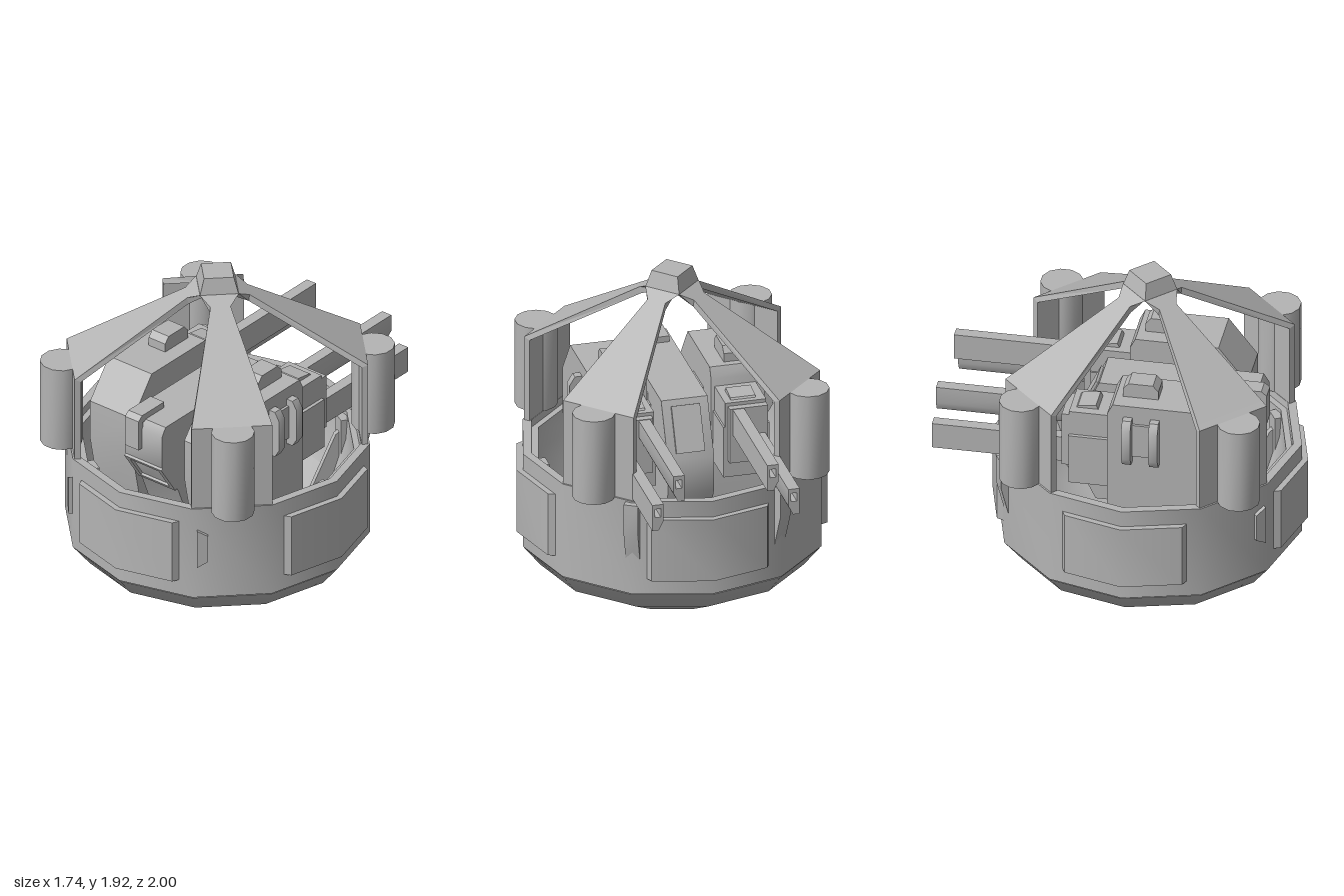
import * as THREE from 'three';
import { toCreasedNormals } from 'three/addons/utils/BufferGeometryUtils.js';

const grey = new THREE.MeshStandardMaterial({ color: 0xb4b4b4 });
grey.name = 'hull grey';

function add(parent, name, geometry, crease = 0.6) {
  const mesh = new THREE.Mesh(toCreasedNormals(geometry, crease), grey);
  mesh.name = name;
  parent.add(mesh);
  return mesh;
}

function box(x0, x1, y0, y1, z0, z1) {
  return new THREE.BoxGeometry(x1 - x0, y1 - y0, z1 - z0)
    .translate((x0 + x1) / 2, (y0 + y1) / 2, (z0 + z1) / 2);
}

const shapeOf = pts => new THREE.Shape(pts.map(p => new THREE.Vector2(p[0], p[1])));

// Profile of [z, y] points, extruded from x0 to x1
function prism(pts, x0, x1) {
  return new THREE.ExtrudeGeometry(shapeOf(pts), { depth: x1 - x0, bevelEnabled: false })
    .rotateY(-Math.PI / 2).translate(x1, 0, 0);
}

// Loft through rectangular sections: [outer r, outer y, inner r, inner y, outer width, inner width]
function loft(sections) {
  const pos = [], idx = [];
  for (const [ro, yo, ri, yi, wo, wi] of sections) {
    pos.push(-wo / 2, yo, ro, wo / 2, yo, ro, wi / 2, yi, ri, -wi / 2, yi, ri);
  }
  for (let s = 0; s < sections.length - 1; s++) {
    for (let k = 0; k < 4; k++) {
      const a = s * 4 + k, b = s * 4 + (k + 1) % 4;
      idx.push(a, b, b + 4, a, b + 4, a + 4);
    }
  }
  const e = pos.length / 3 - 4;
  idx.push(0, 2, 1, 0, 3, 2, e, e + 1, e + 2, e, e + 2, e + 3);
  const g = new THREE.BufferGeometry();
  g.setAttribute('position', new THREE.Float32BufferAttribute(pos, 3));
  g.setIndex(idx);
  return g;
}

function buildHull(hull) {
  const lathe = pts => new THREE.LatheGeometry(pts.map(p => new THREE.Vector2(p[0], p[1])), 12);
  // Shallow bowl under the drum
  add(hull, 'bowl', lathe([[0, 0], [0.43, 0.06], [0.74, 0.22], [0.832, 0.335], [0.8, 0.345]]), 0.75);
  // Drum wall with stepped rim and hollow interior
  add(hull, 'drum', lathe([
    [0.8, 0.342], [0.838, 0.342], [0.838, 0.9], [0.79, 0.9], [0.785, 0.86], [0.75, 0.86],
    [0.74, 0.72], [0.67, 0.5], [0.5, 0.34], [0.27, 0.25], [0, 0.22]]));

  // Folded armour panels on the four sides
  const fold = shapeOf([[-0.345, 0.74], [0, 0.832], [0.345, 0.74], [0.325, 0.785], [0, 0.872], [-0.325, 0.785]]);
  for (let i = 0; i < 4; i++) {
    const g = new THREE.ExtrudeGeometry(fold, { depth: 0.37, bevelEnabled: false })
      .rotateX(-Math.PI / 2).translate(0, 0.435, 0);
    add(hull, 'sidePanel', g).rotation.y = i * Math.PI / 2;
  }

  // Brackets inside the rim
  for (let i = 0; i < 6; i++) {
    const bracket = new THREE.Group();
    bracket.name = 'rimBracket';
    bracket.rotation.y = Math.PI / 2 + i * Math.PI / 3;
    add(bracket, 'bracketBlock', box(-0.045, 0.045, 0.6, 0.84, 0.7, 0.77));
    add(bracket, 'bracketFin', prism([[0.5, 0.34], [0.74, 0.5], [0.74, 0.78], [0.68, 0.74]], -0.015, 0.015));
    hull.add(bracket);
  }

  for (const s of [-1, 1]) {
    // Small trapezoid plate on the front diagonal faces
    const plate = shapeOf([[-0.03, -0.115], [0.03, -0.08], [0.03, 0.08], [-0.03, 0.115]]);
    const g = new THREE.ExtrudeGeometry(plate, { depth: 0.025, bevelEnabled: false });
    if (s < 0) g.rotateZ(Math.PI);
    const m = add(hull, 'frontPlate', g);
    m.position.set(s * 0.455, 0.655, 0.685);
    m.rotation.y = s * Math.PI / 4;
    // Tapered fin at the rear corners
    const fin = prism([[0.81, 0.48], [0.87, 0.72], [0.87, 0.89], [0.81, 0.89]], -0.04, 0.04);
    add(hull, 'rearFin', fin).rotation.y = s * Math.PI * 5 / 6;
  }
}

function buildCanopy(hull) {
  // Four tapering arms, each with a post and a cylinder outside it
  for (let i = 0; i < 4; i++) {
    const corner = new THREE.Group();
    corner.name = 'canopyCorner';
    corner.rotation.y = Math.PI / 4 + i * Math.PI / 2;
    add(corner, 'canopyArm', loft([
      [0.8, 0.88, 0.765, 0.88, 0.44, 0.44],
      [0.8, 1.4, 0.765, 1.385, 0.44, 0.44],
      [0.17, 1.785, 0.165, 1.745, 0.11, 0.11],
      [0.106, 1.825, 0.05, 1.795, 0.212, 0.1]]), 0.1);
    add(corner, 'cornerCylinder', new THREE.CylinderGeometry(0.118, 0.118, 0.5, 12).translate(0, 1.15, 0.85));
    hull.add(corner);
  }
  add(hull, 'canopyCap', new THREE.CylinderGeometry(0.115, 0.15, 0.095, 4).translate(0, 1.868, 0), 0.1);
}

// Barrel along -z; s turns the chamfered lower corner to either side
function barrel(parent, name, x, y, s) {
  const pts = [[-0.032, 0.075], [-0.032, -0.025], [-0.005, -0.078], [0.032, -0.078], [0.032, 0.075]];
  const shape = shapeOf(pts.map(p => [p[0] * s, p[1]]));
  const bore = [[-0.016, 0.05], [-0.016, 0], [0.016, 0], [0.016, 0.05]];
  shape.holes.push(new THREE.Path(bore.map(p => new THREE.Vector2(p[0], p[1]))));
  add(parent, name, new THREE.ExtrudeGeometry(shape, { depth: 0.76, bevelEnabled: false }).translate(x, y, -1));
}

function buildGun(root, s) {
  const gun = new THREE.Group();
  gun.name = s > 0 ? 'leftGun' : 'rightGun';
  const span = (a, b) => s > 0 ? [a, b] : [-b, -a];
  const block = (name, a, b, ...yz) => add(gun, name, box(...span(a, b), ...yz));
  const slab = (name, pts, a, b) => add(gun, name, prism(pts, ...span(a, b)));

  slab('gunHousing', [[-0.02, 0.55], [0.56, 0.55], [0.63, 0.9], [0.63, 1.14], [0.47, 1.35], [0.01, 1.35], [-0.02, 1.29]], 0.18, 0.48);
  slab('roofBox', [[0.05, 1.34], [0.245, 1.34], [0.245, 1.4], [0.215, 1.435], [0.08, 1.435], [0.05, 1.4]], 0.27, 0.385);

  // Side ribs with sloped ends
  for (const z of [0.095, 0.245]) {
    const rib = shapeOf([[0.47, 1.0], [0.52, 1.0], [0.55, 1.05], [0.55, 1.23], [0.52, 1.28], [0.47, 1.28]].map(p => [p[0] * s, p[1]]));
    add(gun, 'sideRib', new THREE.ExtrudeGeometry(rib, { depth: 0.05, bevelEnabled: false }).translate(0, 0, z - 0.025));
  }
  block('ribPlate', 0.47, 0.495, 1.04, 1.24, 0.12, 0.22);

  // Mantlet, collar and barrels
  block('mantletLower', 0.19, 0.45, 0.8, 1.1, -0.24, 0);
  block('mantletUpper', 0.2, 0.43, 1.1, 1.245, -0.24, 0);
  slab('mantletCover', [[-0.22, 1.23], [-0.08, 1.23], [-0.1, 1.27], [-0.2, 1.255]], 0.24, 0.38);
  block('barrelCollar', 0.215, 0.43, 0.9, 1.225, -0.28, -0.2);
  barrel(gun, 'upperBarrel', s * 0.264, 1.147, -s);
  barrel(gun, 'lowerBarrel', s * 0.382, 0.988, s);
  root.add(gun);
}

function buildCabin(root) {
  const cabin = new THREE.Group();
  cabin.name = 'cabin';
  // Narrow centre body, sloped at both ends
  add(cabin, 'cabinBody', prism([
    [-0.15, 0.5], [0.5, 0.5], [0.62, 0.8], [0.76, 1.01], [0.76, 1.2], [0.73, 1.25],
    [-0.13, 1.25], [-0.27, 0.95], [-0.27, 0.75]], -0.13, 0.13));
  // Raised frame around the lower front window
  const frame = shapeOf([[-0.13, -0.11], [0.13, -0.11], [0.13, 0.11], [-0.13, 0.11]]);
  frame.holes.push(new THREE.Path([[-0.1, -0.085], [-0.1, 0.085], [0.1, 0.085], [0.1, -0.085]].map(p => new THREE.Vector2(...p))));
  const front = add(cabin, 'frontWindowFrame', new THREE.ExtrudeGeometry(frame, { depth: 0.015, bevelEnabled: false }));
  front.position.set(0, 0.91, 0.693);
  front.rotation.x = Math.atan2(0.14, 0.21);
  // Rear sloped window
  const rear = add(cabin, 'rearWindow', new THREE.BoxGeometry(0.16, 0.26, 0.03));
  rear.position.set(0, 1.1, -0.2);
  rear.rotation.x = Math.atan2(0.14, 0.3);
  // Sight box hooked over the front edge
  add(cabin, 'sightTop', prism([[0.57, 1.24], [0.57, 1.285], [0.76, 1.285], [0.79, 1.26], [0.79, 1.08], [0.75, 1.08], [0.75, 1.24]], -0.105, -0.01));
  // Trunnion joining the two guns
  add(cabin, 'trunnion', box(-0.19, 0.19, 0.94, 1.13, 0.08, 0.4));
  add(cabin, 'trunnionCap', box(-0.19, 0.19, 1.13, 1.17, 0.14, 0.34));
  root.add(cabin);
}

export function createModel() {
  const root = new THREE.Group();
  root.name = 'gunTurret';
  const hull = new THREE.Group();
  hull.name = 'hull';
  hull.position.z = 0.127;
  root.add(hull);
  buildHull(hull);
  buildCanopy(hull);
  for (const s of [-1, 1]) buildGun(root, s);
  buildCabin(root);
  return root;
}
